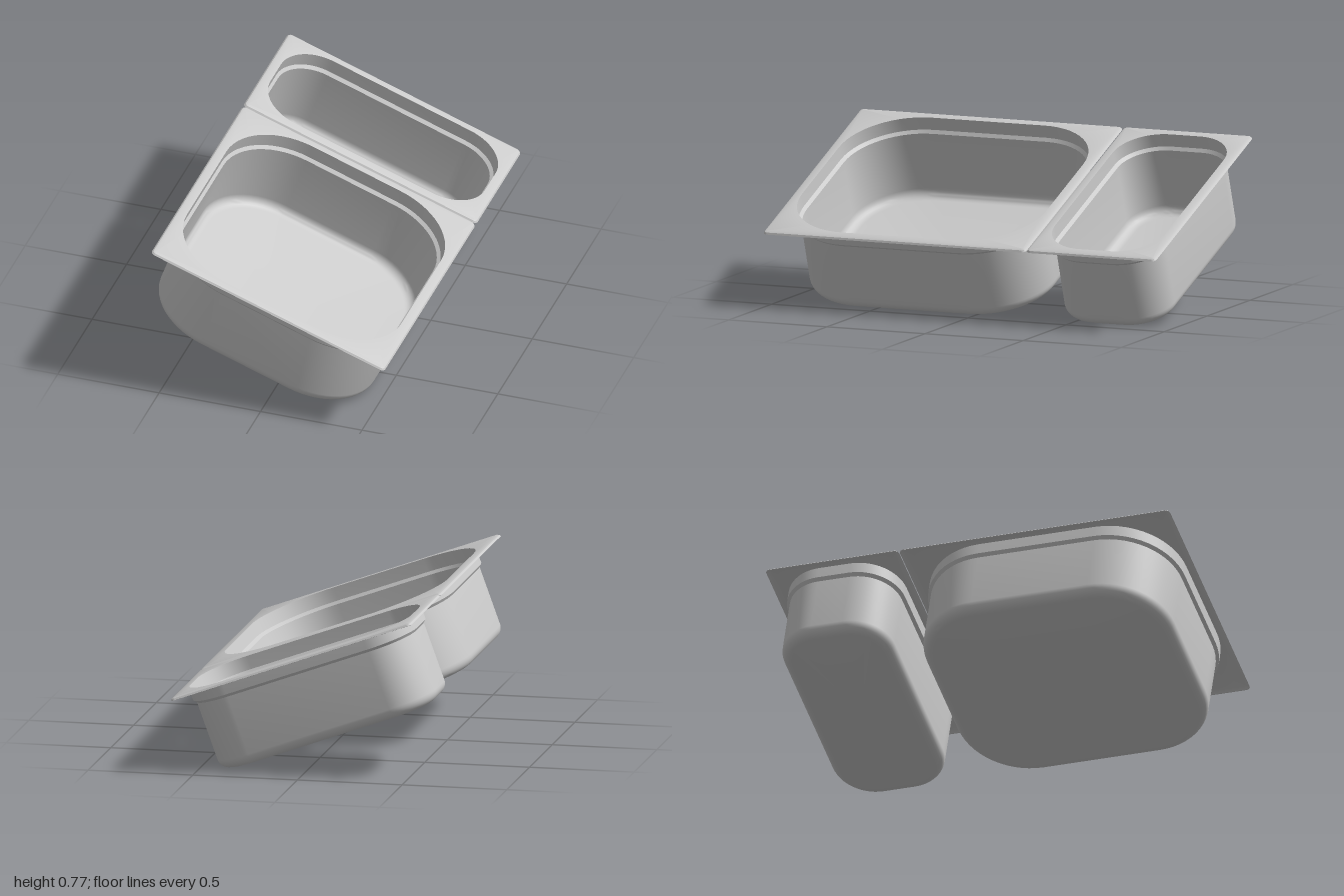
import * as THREE from 'three';
import { toCreasedNormals } from 'three/addons/utils/BufferGeometryUtils.js';

const CORNER_STEPS = 14;
const FILLET_STEPS = 7;
const SHEET = 0.005;   // sheet metal thickness
const DEPTH = 0.412;
const TILT = THREE.MathUtils.degToRad(20);

// Closed ring of points around a rounded rectangle at height y
function ring(hx, hz, r, y) {
  const pts = [];
  const signs = [[1, 1], [-1, 1], [-1, -1], [1, -1]];
  signs.forEach(([sx, sz], q) => {
    for (let i = 0; i <= CORNER_STEPS; i++) {
      const a = (q + i / CORNER_STEPS) * Math.PI / 2;
      pts.push(new THREE.Vector3(
        sx * (hx - r) + r * Math.cos(a), y, sz * (hz - r) + r * Math.sin(a)));
    }
  });
  return pts;
}

// Skin between consecutive rings, leaving out collapsed triangles
function loft(rings) {
  const pos = [];
  const tri = (a, b, c) => {
    if (new THREE.Triangle(a, b, c).getArea() > 1e-9) {
      for (const p of [a, b, c]) pos.push(p.x, p.y, p.z);
    }
  };
  for (let i = 0; i < rings.length - 1; i++) {
    const lo = rings[i], hi = rings[i + 1], n = lo.length;
    for (let j = 0; j < n; j++) {
      const k = (j + 1) % n;
      tri(lo[j], lo[k], hi[j]);
      tri(lo[k], hi[k], hi[j]);
    }
  }
  const g = new THREE.BufferGeometry();
  g.setAttribute('position', new THREE.Float32BufferAttribute(pos, 3));
  return toCreasedNormals(g, THREE.MathUtils.degToRad(30));
}

// Wall profile from floor to rim as [inset, height]; t offsets it inwards
function wallProfile(t) {
  const step = 0.014, R = 0.05, r = R - t;
  const pts = [];
  for (let i = 0; i <= FILLET_STEPS; i++) {
    const a = (i / FILLET_STEPS) * Math.PI / 2;
    pts.push([step + R - r * Math.sin(a), -DEPTH + R - r * Math.cos(a)]);
  }
  pts.push([step + t, -0.074], [t, -0.06], [t, t]);
  return pts;
}

function pan({ name, z, flangeZ, bodyZ, radius }, material) {
  const flangeX = 0.612, bodyX = 0.568;
  const body = ([inset, y]) => ring(bodyX - inset, bodyZ - inset, radius - inset, y);
  const flange = (inset, y) => ring(flangeX - inset, flangeZ - inset, 0.022 - inset, y);
  const centre = (y) => ring(0, 0, 0, y);

  const rings = [
    // basin interior
    centre(-DEPTH + SHEET),
    ...wallProfile(SHEET).map(body),
    // flat flange with a turned-down edge
    flange(0.016, SHEET),
    flange(0.006, 0.001),
    flange(0, -0.007),
    flange(0.004, -0.008),
    flange(0.018, 0),
    // basin exterior
    ...wallProfile(0).reverse().map(body),
    centre(-DEPTH),
  ];
  const mesh = new THREE.Mesh(loft(rings), material);
  mesh.name = name;
  mesh.position.z = z;
  return mesh;
}

export function createModel() {
  const steel = new THREE.MeshStandardMaterial({ color: 0xcccccc });
  const group = new THREE.Group();
  group.name = 'foodPans';

  // Both pans share one tilted plane
  const tilted = new THREE.Group();
  tilted.name = 'tiltedPans';
  tilted.position.set(0.035, 0.565, 0);
  tilted.rotation.z = -TILT;
  tilted.add(
    pan({ name: 'largePan', z: 0.331, flangeZ: 0.669, bodyZ: 0.627, radius: 0.34 }, steel),
    pan({ name: 'smallPan', z: -0.671, flangeZ: 0.329, bodyZ: 0.287, radius: 0.21 }, steel),
  );
  group.add(tilted);
  return group;
}
